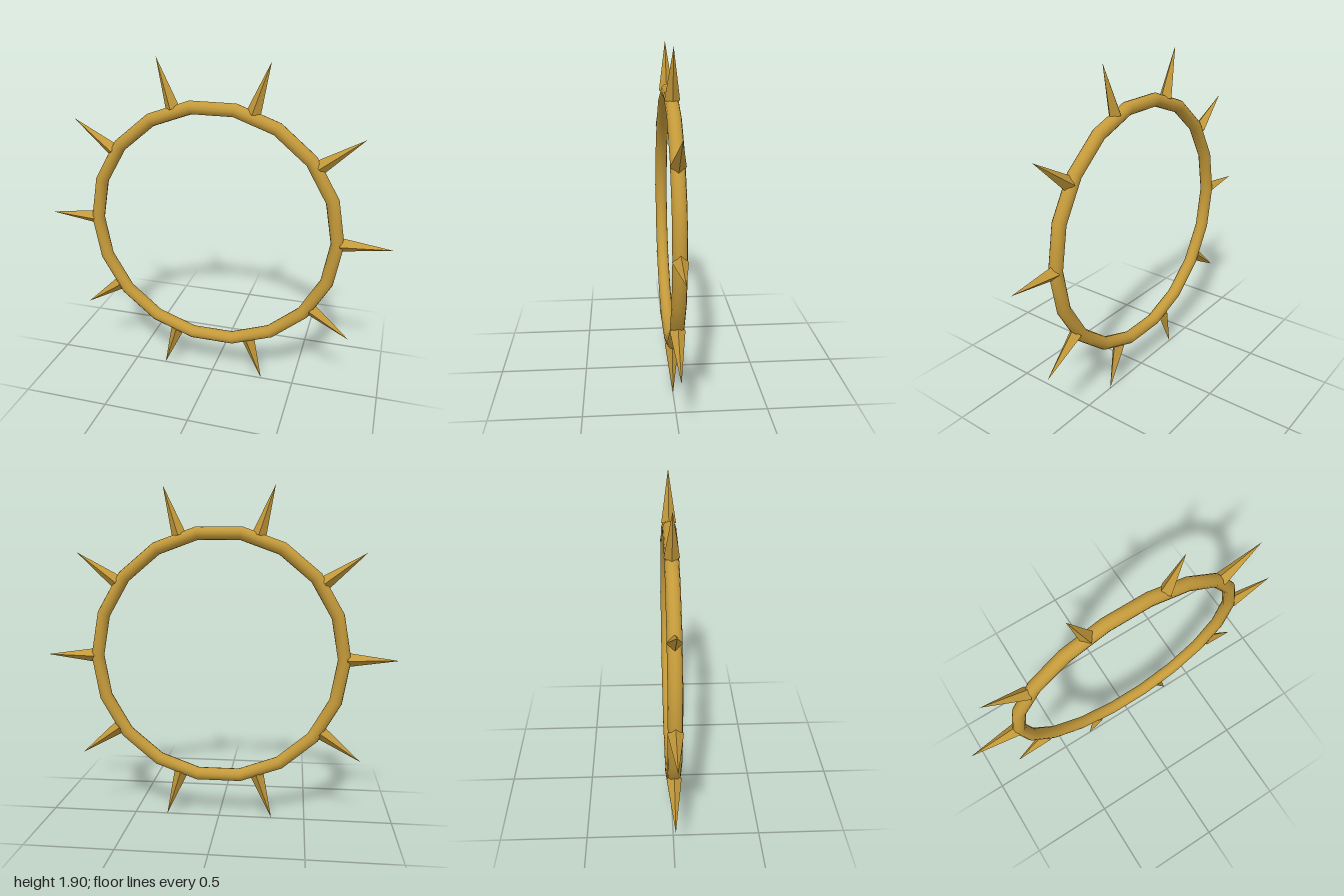
import * as THREE from 'three';

const CENTER_Y = Math.sin(Math.PI * 0.4); // lowest spike tips rest on y = 0
const SPIKES = 10;
const SPIKE_BASE = 0.718;
const SPIKE_LENGTH = 1 - SPIKE_BASE;

export function createModel() {
  const model = new THREE.Group();
  model.name = 'spikedRing';
  const color = 0xc49a3a;

  // Round bar bent into an 18-sided hoop
  const ring = new THREE.Mesh(
    new THREE.TorusGeometry(0.704, 0.037, 12, 18),
    new THREE.MeshStandardMaterial({ color })
  );
  ring.name = 'ring';
  ring.position.y = CENTER_Y;
  model.add(ring);

  // Four-sided spikes pointing outward, origin at the base
  const spikeGeometry = new THREE.ConeGeometry(0.04, SPIKE_LENGTH, 4);
  spikeGeometry.translate(0, SPIKE_LENGTH / 2, 0);
  const spikeMaterial = new THREE.MeshStandardMaterial({ color, flatShading: true });
  for (let i = 0; i < SPIKES; i++) {
    const angle = (i / SPIKES) * Math.PI * 2;
    const spike = new THREE.Mesh(spikeGeometry, spikeMaterial);
    spike.name = `spike${i + 1}`;
    spike.position.set(Math.cos(angle) * SPIKE_BASE, CENTER_Y + Math.sin(angle) * SPIKE_BASE, 0);
    spike.rotation.z = angle - Math.PI / 2;
    model.add(spike);
  }
  return model;
}
